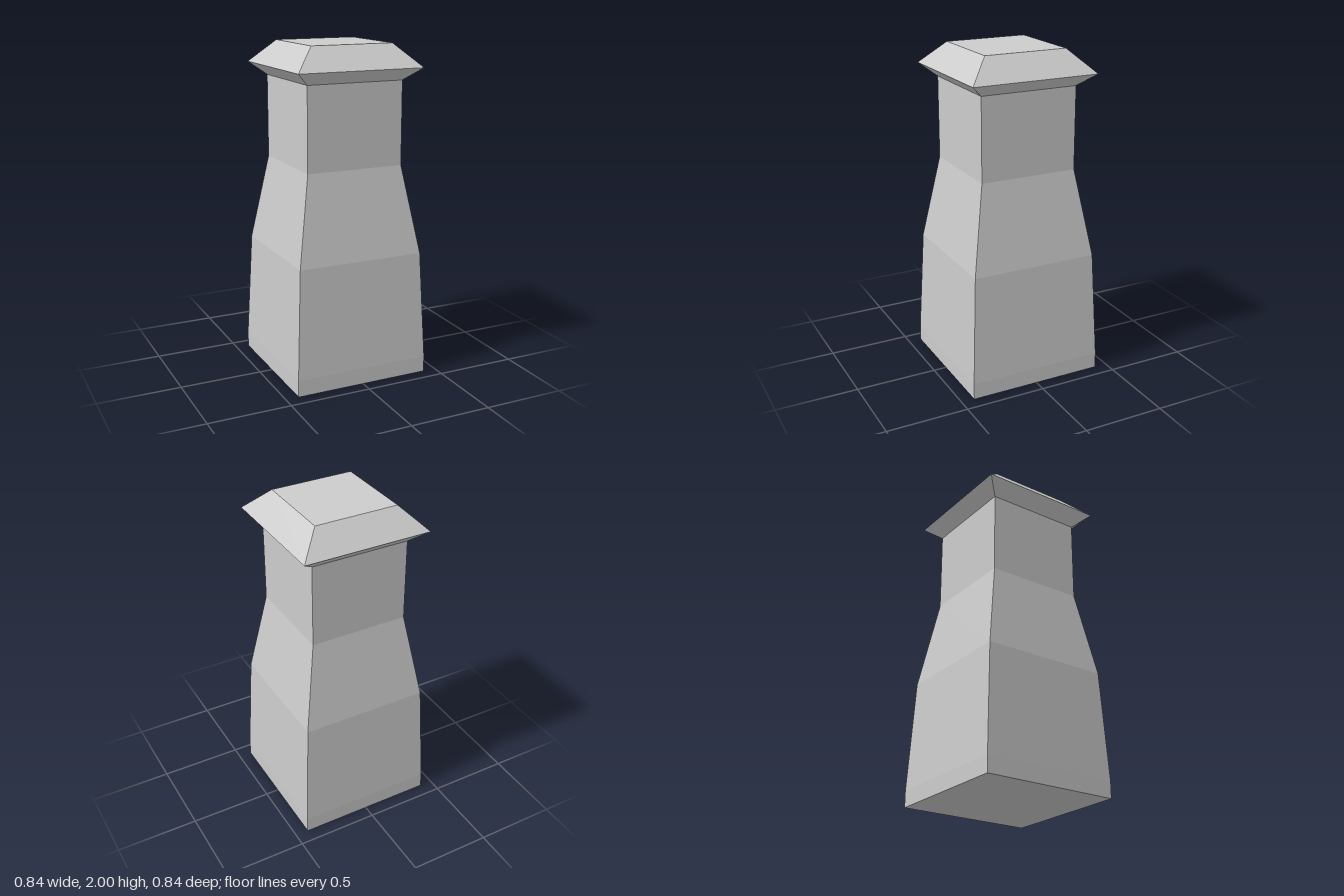
import * as THREE from 'three';

const material = new THREE.MeshStandardMaterial({ color: 0xcccccc, flatShading: true });

// Square tower section: each profile entry is [half width, height], bottom to top
function squareLathe(name, profile) {
  const points = profile.map(([half, y]) => new THREE.Vector2(half * Math.SQRT2, y));
  const mesh = new THREE.Mesh(new THREE.LatheGeometry(points, 4, Math.PI / 4), material);
  mesh.name = name;
  return mesh;
}

export function createModel() {
  const model = new THREE.Group();
  model.name = 'chimney';

  // Upright plinth, closed underneath
  model.add(squareLathe('plinth', [[0, 0], [0.42, 0], [0.42, 0.1]]));

  // Slightly tapered lower body
  model.add(squareLathe('lowerBody', [[0.42, 0.1], [0.39, 0.76]]));

  // Sloping shoulder
  model.add(squareLathe('shoulder', [[0.39, 0.76], [0.3, 1.29]]));

  // Straight neck
  model.add(squareLathe('neck', [[0.3, 1.29], [0.3, 1.79]]));

  // Flared cap with bevelled, flat top
  model.add(squareLathe('cap', [[0.3, 1.79], [0.39, 1.865], [0.255, 2], [0, 2]]));

  return model;
}
